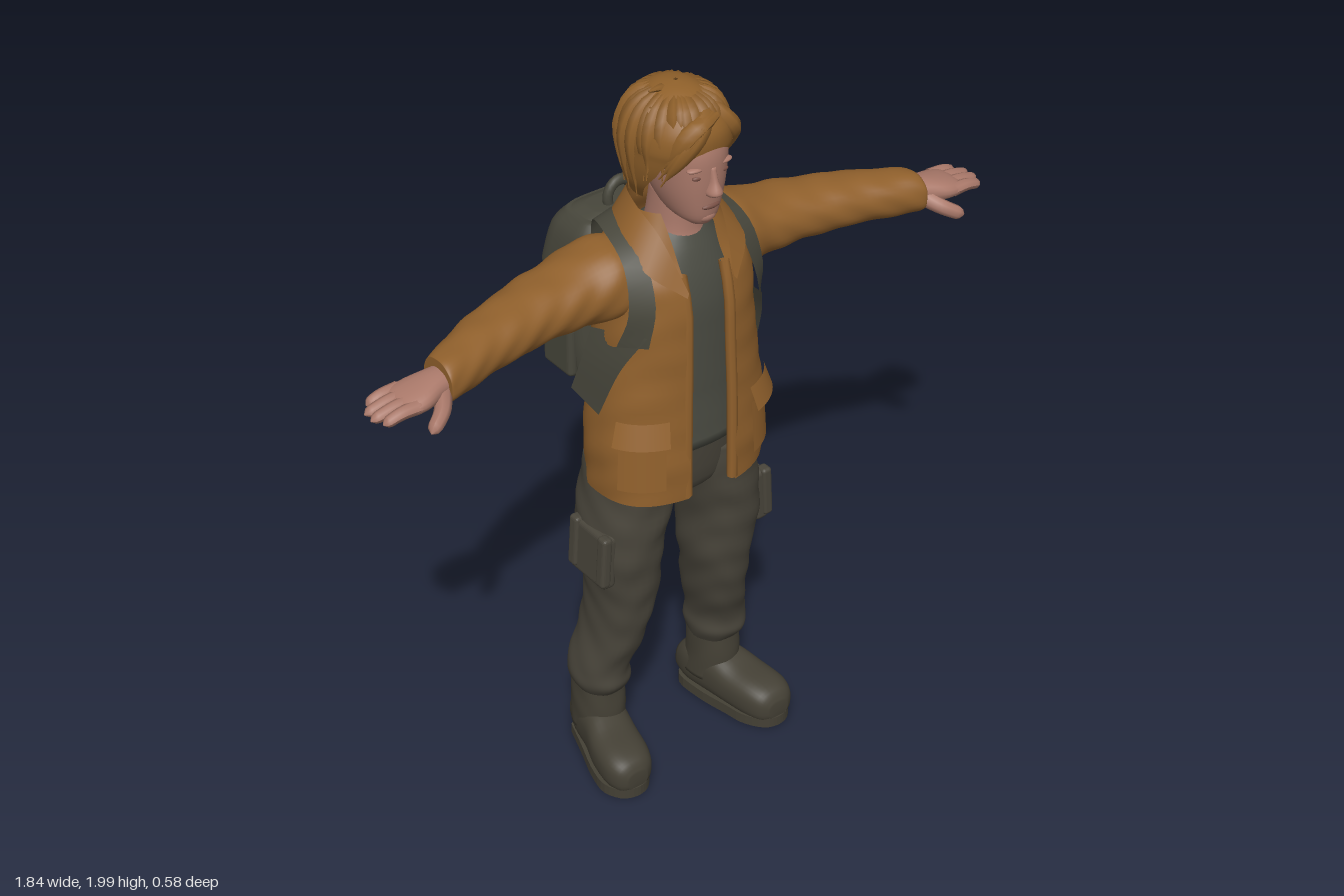
import * as THREE from 'three';
import { RoundedBoxGeometry } from 'three/addons/geometries/RoundedBoxGeometry.js';

const make = (name, color) => new THREE.MeshStandardMaterial({ name, color, side: THREE.DoubleSide });
const M = {
  jacket: make('ochre cloth', 0x90602c), hair: make('brown hair', 0x8f602a), skin: make('skin', 0xaa796a),
  face: make('dark skin', 0x7a5146), pants: make('olive trousers', 0x48443a), boots: make('dark boots', 0x444035),
  shirt: make('grey shirt', 0x4a4b42), pack: make('olive pack', 0x47463b),
};

const AXES = { x: [0, 2, 1], y: [1, 0, 2], z: [2, 1, 0] };
const cubic = (a, b, c, d, t) =>
  b + 0.5 * t * (c - a + t * (2 * a - 5 * b + 4 * c - d + t * (3 * (b - c) + d - a)));

// Smooth skin over rings [pos, centre0, centre1, radius0, radius1, frontGap]; the axis sets their order
function loft(rings, { axis = 'y', seg = 36, n = 2.2, gap = false, arc = null, wrinkle = 0, sub = 4 } = {}) {
  const order = AXES[axis], pos = [], idx = [], closed = !gap && !arc;
  const cols = closed ? seg : seg + 1, rows = (rings.length - 1) * sub + 1;
  const bend = v => Math.sign(v) * Math.abs(v) ** (2 / n);
  const put = (p, a, b) => { const v = []; v[order[0]] = p; v[order[1]] = a; v[order[2]] = b; pos.push(...v); };
  for (let i = 0; i < rows; i++) {
    const k = Math.min(Math.floor(i / sub), rings.length - 2), t = i / sub - k;
    const at = j => rings[Math.max(0, Math.min(rings.length - 1, j))];
    const [p, a, b, ra, rb, w = 0] = rings[0].map((_, q) => cubic(at(k - 1)[q], at(k)[q], at(k + 1)[q], at(k + 2)[q], t));
    const g = gap ? Math.asin(Math.min(0.99, Math.max(0, w / ra) ** (n / 2))) : 0;
    const [t0, t1] = arc || [Math.PI / 2 + g, Math.PI * 2.5 - g];
    for (let j = 0; j < cols; j++) {
      const u = t0 + (t1 - t0) * j / seg;
      const f = 1 + wrinkle * Math.sin(p * 50 + 2 * Math.sin(u * 2)) * Math.sin(u * 3 + p * 11);
      put(p, a + ra * f * bend(Math.cos(u)), b + rb * f * bend(Math.sin(u)));
    }
  }
  for (let i = 0; i < rows - 1; i++) for (let j = 0; j < seg; j++) {
    const a = i * cols + j, b = i * cols + (j + 1) % cols;
    idx.push(a, a + cols, b, b, a + cols, b + cols);
  }
  if (closed) for (const [r, row] of [[rings[0], 0], [rings[rings.length - 1], rows - 1]]) {
    const c = pos.length / 3;
    put(r[0], r[1], r[2]);
    for (let j = 0; j < seg; j++) {
      const a = row * cols + j, b = row * cols + (j + 1) % cols;
      idx.push(...(row ? [c, b, a] : [c, a, b]));
    }
  }
  return build(pos, idx);
}
function build(pos, idx) {
  const g = new THREE.BufferGeometry();
  g.setAttribute('position', new THREE.Float32BufferAttribute(pos, 3));
  g.setIndex(idx);
  g.computeVertexNormals();
  return g;
}

const V = p => new THREE.Vector3(...p);
const curve = pts => new THREE.CatmullRomCurve3(pts.map(V));

// Tube whose radius follows a rule along its length
function taper(pts, r, rule, seg = 8) {
  const c = curve(pts), n = 12, g = new THREE.TubeGeometry(c, n, r, seg), p = g.attributes.position, v = new THREE.Vector3();
  for (let i = 0; i <= n; i++) {
    const o = c.getPointAt(i / n);
    for (let j = 0; j <= seg; j++) {
      const k = i * (seg + 1) + j;
      v.fromBufferAttribute(p, k).sub(o).multiplyScalar(rule(i / n)).add(o);
      p.setXYZ(k, v.x, v.y, v.z);
    }
  }
  g.computeVertexNormals();
  return g;
}

// Strip between two edge curves
function ribbon(edgeA, edgeB, n = 20) {
  const a = curve(edgeA), b = curve(edgeB), pos = [], idx = [];
  for (let i = 0; i <= n; i++) {
    pos.push(...a.getPoint(i / n).toArray(), ...b.getPoint(i / n).toArray());
    if (i < n) idx.push(2 * i, 2 * i + 1, 2 * i + 2, 2 * i + 1, 2 * i + 3, 2 * i + 2);
  }
  return build(pos, idx);
}

function ball(x, y, z, rx, ry, rz) {
  return new THREE.SphereGeometry(1, 20, 14).scale(rx, ry, rz).translate(x, y, z);
}
function mirrored(geo) {
  const g = geo.clone().scale(-1, 1, 1);
  if (!g.index) g.setIndex([...Array(g.attributes.position.count).keys()]);
  const a = g.index.array;
  for (let i = 0; i < a.length; i += 3) [a[i], a[i + 1]] = [a[i + 1], a[i]];
  g.computeVertexNormals();
  return g;
}

export function createModel() {
  const root = new THREE.Group();
  root.name = 'traveller';
  const add = (name, geo, mat) => {
    const m = new THREE.Mesh(geo, mat);
    m.name = name;
    root.add(m);
  };
  const pair = (name, geo, mat) => { add(name + 'Left', geo, mat); add(name + 'Right', mirrored(geo), mat); };

  // Trousers
  add('hips', loft([[0.84, 0, 0.085, 0.1, 0.09], [0.89, 0, 0.085, 0.2, 0.125], [1.06, 0, 0.095, 0.2, 0.13]]), M.pants);
  pair('trouserLeg', loft([[0.21, 0.19, 0.04, 0.062, 0.07], [0.25, 0.195, 0.045, 0.076, 0.092], [0.3, 0.193, 0.045, 0.073, 0.09],
    [0.4, 0.17, 0.065, 0.073, 0.102], [0.5, 0.157, 0.083, 0.079, 0.105], [0.6, 0.153, 0.09, 0.093, 0.112],
    [0.72, 0.157, 0.09, 0.102, 0.125], [0.85, 0.13, 0.085, 0.114, 0.135], [0.96, 0.118, 0.095, 0.112, 0.125]],
  { wrinkle: 0.03, sub: 6 }), M.pants);
  pair('cargoPocket', new RoundedBoxGeometry(0.045, 0.16, 0.15, 3, 0.015).rotateZ(0.06).translate(0.245, 0.71, 0.1), M.pants);
  for (const z of [0.045, 0.165])
    pair('cargoFlap', new RoundedBoxGeometry(0.03, 0.15, 0.035, 2, 0.01).rotateZ(0.06).translate(0.26, 0.72, z), M.pants);

  // Boots
  pair('bootShaft', loft([[0.07, 0.19, 0.03, 0.066, 0.075], [0.13, 0.193, 0.04, 0.066, 0.08], [0.2, 0.193, 0.038, 0.066, 0.078],
    [0.28, 0.195, 0.038, 0.066, 0.076]], { wrinkle: 0.02 }), M.boots);
  pair('bootFoot', loft([[-0.05, 0.07, 0.18, 0.05, 0.045], [0, 0.08, 0.187, 0.073, 0.062], [0.08, 0.082, 0.202, 0.075, 0.068],
    [0.15, 0.07, 0.22, 0.063, 0.074], [0.22, 0.064, 0.233, 0.058, 0.072], [0.262, 0.058, 0.237, 0.048, 0.056],
    [0.28, 0.052, 0.238, 0.025, 0.03]], { axis: 'z', n: 2.6 }), M.boots);
  const sole = new THREE.Shape();
  sole.setFromPoints(curve([[0.18, 0.056, 0], [0.13, 0.03, 0], [0.128, -0.06, 0], [0.148, -0.16, 0], [0.162, -0.22, 0], [0.2, -0.272, 0],
    [0.24, -0.283, 0], [0.28, -0.268, 0], [0.306, -0.22, 0], [0.296, -0.15, 0], [0.265, -0.06, 0], [0.235, 0.03, 0]]).getPoints(40)
    .map(p => new THREE.Vector2(p.x, p.y)));
  pair('bootSole', new THREE.ExtrudeGeometry(sole, { depth: 0.03, bevelEnabled: false }).rotateX(-Math.PI / 2), M.boots);

  // Shirt
  add('shirt', loft([[1.02, 0, 0.1, 0.2, 0.148], [1.15, 0, 0.1, 0.19, 0.142], [1.3, 0, 0.1, 0.18, 0.142], [1.45, 0, 0.095, 0.17, 0.143],
    [1.55, 0, 0.09, 0.13, 0.12], [1.6, 0, 0.095, 0.09, 0.09], [1.62, 0, 0.1, 0.07, 0.07]], { wrinkle: 0.01 }), M.shirt);

  // Jacket with an open front
  const body = [[0.9, 0, 0.11, 0.238, 0.166, 0.072], [1, 0, 0.113, 0.243, 0.165, 0.07], [1.15, 0, 0.107, 0.234, 0.163, 0.068],
    [1.3, 0, 0.107, 0.212, 0.16, 0.066], [1.42, 0, 0.103, 0.203, 0.16, 0.064], [1.5, 0, 0.097, 0.196, 0.15, 0.064],
    [1.56, 0, 0.085, 0.172, 0.128, 0.064], [1.62, 0, 0.085, 0.125, 0.1, 0.066], [1.67, 0, 0.08, 0.098, 0.085, 0.07]];
  add('jacketBody', loft(body, { gap: true, seg: 60, n: 2.4, wrinkle: 0.012, sub: 6 }), M.jacket);
  pair('jacketFrontEdge', taper([[0.072, 0.905, 0.262], [0.07, 1.15, 0.258], [0.066, 1.3, 0.253], [0.064, 1.45, 0.245], [0.064, 1.53, 0.222]],
    0.014, () => 1), M.jacket);
  pair('jacketCollar', ribbon([[0, 1.685, -0.01], [0.07, 1.69, 0.01], [0.105, 1.685, 0.09], [0.095, 1.63, 0.175], [0.068, 1.5, 0.258]],
    [[0, 1.61, -0.04], [0.1, 1.615, -0.015], [0.15, 1.61, 0.09], [0.15, 1.555, 0.195], [0.075, 1.49, 0.262]]), M.jacket);
  const patch = (y0, y1, out, a0, a1) => loft([y0, (y0 + y1) / 2, y1].map((y, i) =>
    [y, 0, 0.11, 0.24 + out * (2 - i) / 2 + 0.003, 0.163 + out * (2 - i) / 2 + 0.003]), { arc: [a0, a1], n: 2.4, seg: 12 });
  pair('jacketPocket', patch(0.95, 1.1, 0.009, 0.4, 1.06), M.jacket);
  pair('jacketPocketFlap', patch(1.085, 1.15, 0.022, 0.36, 1.1), M.jacket);
  pair('sleeve', loft([[0.06, 0.07, 1.49, 0.09, 0.09], [0.19, 0.065, 1.494, 0.11, 0.1], [0.3, 0.055, 1.482, 0.102, 0.08],
    [0.45, 0.077, 1.477, 0.09, 0.069], [0.6, 0.118, 1.472, 0.077, 0.062], [0.7, 0.157, 1.467, 0.063, 0.058],
    [0.722, 0.163, 1.465, 0.059, 0.054]], { axis: 'x', wrinkle: 0.035, sub: 8 }), M.jacket);

  // Hands
  pair('palm', loft([[0.7, 0.163, 1.464, 0.04, 0.034], [0.74, 0.168, 1.464, 0.046, 0.034], [0.79, 0.173, 1.46, 0.06, 0.029],
    [0.83, 0.172, 1.456, 0.06, 0.022], [0.85, 0.17, 1.454, 0.052, 0.012]], { axis: 'x', seg: 20 }), M.skin);
  const round = t => Math.sqrt(Math.max(0.02, 1 - Math.max(0, (t - 0.8) / 0.2) ** 2)) * (1 - 0.25 * t);
  [0.895, 0.918, 0.92, 0.905].forEach((tip, i) => {
    const z = 0.126 + i * 0.03;
    pair('finger', taper([[0.81, 1.458, z], [0.86, 1.457, z], [tip, 1.443, z - 0.003]], 0.0185, round), M.skin);
  });
  pair('thumb', taper([[0.73, 1.455, 0.19], [0.76, 1.435, 0.235], [0.81, 1.408, 0.265]], 0.023, round), M.skin);

  // Head and neck
  add('neck', loft([[1.57, 0, 0.105, 0.085, 0.09], [1.62, 0, 0.105, 0.066, 0.075], [1.73, 0, 0.115, 0.06, 0.065]]), M.skin);
  add('head', loft([[1.662, 0, 0.2, 0.03, 0.035], [1.685, 0, 0.17, 0.056, 0.078], [1.74, 0, 0.15, 0.078, 0.106], [1.8, 0, 0.14, 0.09, 0.12],
    [1.86, 0, 0.13, 0.097, 0.127], [1.92, 0, 0.12, 0.09, 0.11], [1.96, 0, 0.12, 0.05, 0.06]]), M.skin);
  add('nose', loft([[1.752, 0, 0.255, 0.017, 0.02], [1.762, 0, 0.258, 0.02, 0.028], [1.79, 0, 0.255, 0.011, 0.018],
    [1.825, 0, 0.25, 0.01, 0.012]], { seg: 16 }), M.skin);
  add('chin', ball(0, 1.685, 0.225, 0.03, 0.02, 0.026), M.skin);
  add('mouth', ball(0, 1.718, 0.25, 0.026, 0.008, 0.009), M.face);
  pair('eye', ball(0.036, 1.803, 0.246, 0.017, 0.007, 0.008), M.face);
  pair('brow', ball(0.04, 1.825, 0.242, 0.026, 0.007, 0.014).rotateZ(0), M.skin);

  // Hair shell, open around the face
  add('hairShell', loft([[1.69, 0, 0.06, 0.08, 0.068, 0.076], [1.74, 0, 0.08, 0.108, 0.1, 0.1], [1.79, 0, 0.098, 0.12, 0.122, 0.102],
    [1.835, 0, 0.108, 0.124, 0.135, 0.088], [1.865, 0, 0.112, 0.125, 0.142, 0], [1.91, 0, 0.115, 0.115, 0.136, 0],
    [1.955, 0, 0.112, 0.087, 0.105, 0], [1.985, 0, 0.11, 0.045, 0.055, 0], [1.994, 0, 0.11, 0.005, 0.005, 0]], { gap: true, seg: 48 }), M.hair);
  // Locks falling from the crown
  let seed = 7;
  const rnd = () => (seed = (seed * 16807) % 2147483647) / 2147483647;
  const lockRule = t => 0.45 + 0.75 * Math.sin(Math.PI * Math.min(1, t * 1.1)) - 0.38 * t;
  for (let k = 0; k < 30; k++) {
    const a = k / 30 * Math.PI * 2 + rnd() * 0.15, s = Math.sin(a), twist = (rnd() - 0.5) * 0.5;
    const end = (s > 0.6 ? 1.845 : s > 0 ? 1.755 : 1.705) + rnd() * 0.03;
    const on = (y, q, r) => [Math.cos(a + q) * 0.122 * r, y, 0.11 + s * 0.138 * r];
    add('hairLock', taper([on(1.978, 0, 0.3), on(1.945, twist * 0.3, 0.73), on(1.88, twist * 0.6, 0.95),
      on((1.88 + end) / 2, twist, s < 0.6 ? 0.94 : 0.98), on(end, twist * 1.2, s < 0 ? 0.87 : 0.99)], 0.02, lockRule, 6), M.hair);
  }
  // Swept fringe
  for (let i = 0; i < 5; i++) {
    const d = i * 0.017;
    add('fringe', taper([[0.035, 1.965 - d * 0.4, 0.18 + d * 0.6], [-0.02 - d * 0.3, 1.92, 0.232], [-0.07 - d * 0.3, 1.855 - d * 0.2, 0.225 - d * 0.5],
      [-0.103, 1.775 + d, 0.19 - d * 0.5]], 0.026, lockRule, 8), M.hair);
    if (i < 3) add('fringeSide', taper([[0.03, 1.965 - d, 0.18 + d], [0.07, 1.91, 0.222 - d], [0.105, 1.85, 0.19 - d], [0.115, 1.77 + d, 0.155 - d]],
      0.024, lockRule, 8), M.hair);
  }
  add('crownTuft', taper([[-0.02, 1.97, 0.1], [-0.05, 1.985, 0.11], [-0.085, 1.992, 0.12]], 0.016, t => 1 - 0.85 * t, 6), M.hair);

  // Backpack
  add('packBody', loft([[1.07, 0, -0.14, 0.11, 0.07], [1.1, 0, -0.15, 0.15, 0.1], [1.25, 0, -0.157, 0.166, 0.112], [1.4, 0, -0.15, 0.163, 0.104],
    [1.5, 0, -0.142, 0.148, 0.09], [1.545, 0, -0.13, 0.12, 0.07], [1.562, 0, -0.125, 0.08, 0.04]], { n: 4, wrinkle: 0.012, seg: 48 }), M.pack);
  add('packPocket', loft([[1.09, 0, -0.2, 0.1, 0.05], [1.12, 0, -0.21, 0.128, 0.075], [1.24, 0, -0.215, 0.128, 0.073], [1.29, 0, -0.21, 0.115, 0.06]],
    { n: 4, wrinkle: 0.015 }), M.pack);
  add('packPocketFlap', loft([[1.235, 0, -0.215, 0.136, 0.076], [1.25, 0, -0.213, 0.136, 0.078], [1.315, 0, -0.2, 0.12, 0.06]], { n: 4 }), M.pack);
  add('packLid', loft([[1.385, 0, -0.15, 0.167, 0.113], [1.4, 0, -0.15, 0.169, 0.113], [1.5, 0, -0.142, 0.152, 0.096],
    [1.55, 0, -0.13, 0.122, 0.07]], { n: 4, seg: 48 }), M.pack);
  pair('packSidePocket', new RoundedBoxGeometry(0.03, 0.15, 0.12, 3, 0.014).translate(0.162, 1.18, -0.15), M.pack);
  add('packHandle', new THREE.TorusGeometry(0.037, 0.013, 10, 24).scale(1, 1.15, 1).translate(0, 1.575, -0.115), M.pack);
  pair('packStrap', ribbon([[0.075, 1.5, -0.055], [0.09, 1.61, -0.03], [0.12, 1.632, 0.05], [0.135, 1.59, 0.165], [0.15, 1.48, 0.235], [0.172, 1.37, 0.237]],
    [[0.125, 1.48, -0.06], [0.145, 1.595, -0.03], [0.17, 1.612, 0.05], [0.19, 1.57, 0.16], [0.205, 1.46, 0.2], [0.22, 1.36, 0.17]]), M.pack);
  pair('strapPanel', ribbon([[0.175, 1.4, 0.235], [0.217, 1.3, 0.185], [0.243, 1.145, 0.125]],
    [[0.217, 1.36, 0.06], [0.228, 1.26, 0.035], [0.24, 1.16, 0.005]]), M.pack);
  return root;
}
